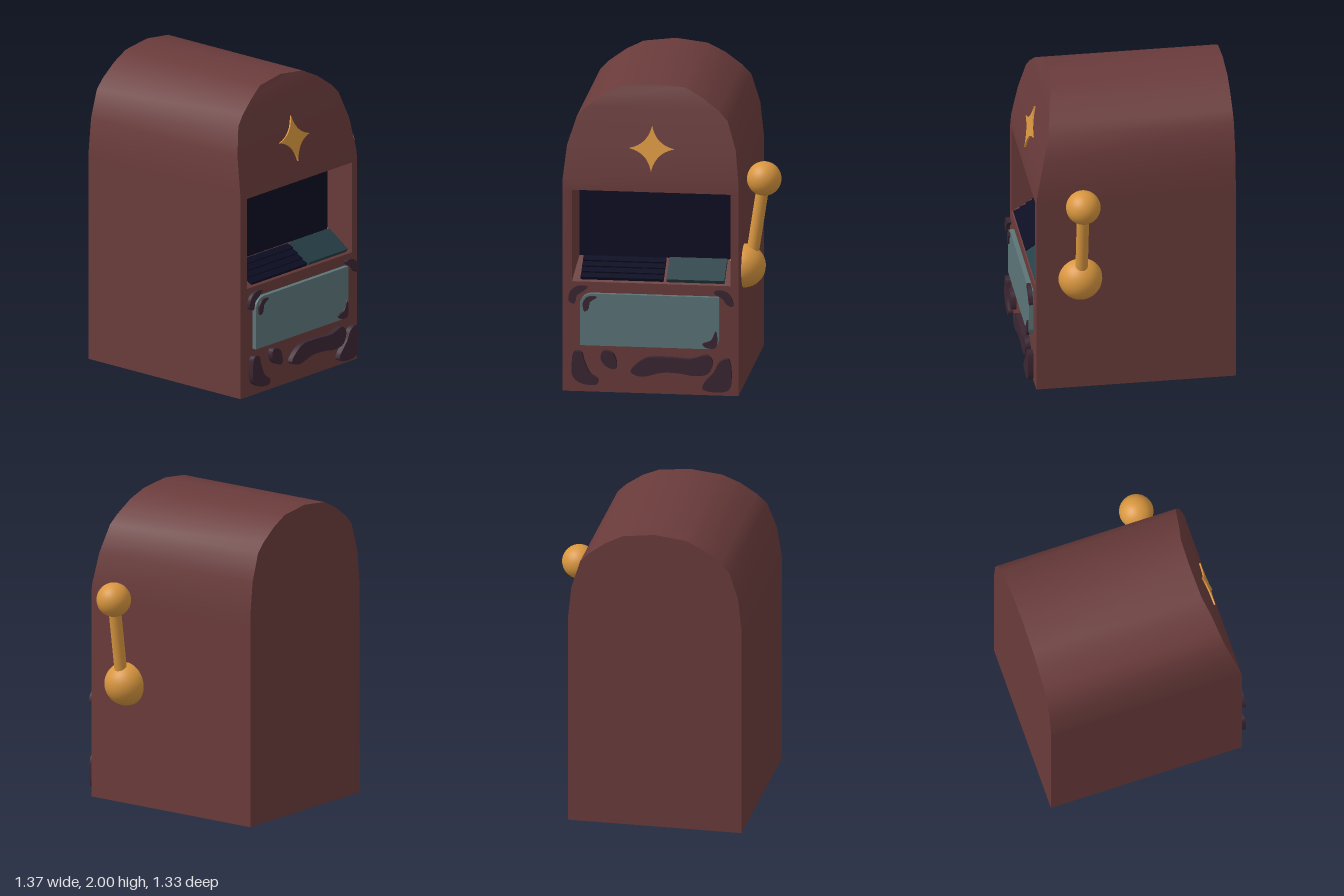
import * as THREE from 'three';
import { toCreasedNormals } from 'three/addons/utils/BufferGeometryUtils.js';

const paint = (name, color) => {
  const m = new THREE.MeshStandardMaterial({ color });
  m.name = name;
  return m;
};

export function createModel() {
  const maroon = paint('maroon', 0x6a3b3b);
  const gold = paint('gold', 0xd8963f);
  const navy = paint('navy', 0x0d0d24);
  const teal = paint('greyTeal', 0x5c7578);
  const darkTeal = paint('darkTeal', 0x263f46);
  const plum = paint('plum', 0x3b2632);

  const model = new THREE.Group();
  const add = (name, geometry, material, x = 0, y = 0, z = 0, parent = model) => {
    const mesh = new THREE.Mesh(geometry, material);
    mesh.name = name;
    mesh.position.set(x, y, z);
    parent.add(mesh);
    return mesh;
  };
  const quads = (list) => {
    const pos = [];
    for (const [a, b, c, d] of list) pos.push(...a, ...b, ...c, ...a, ...c, ...d);
    const g = new THREE.BufferGeometry();
    g.setAttribute('position', new THREE.Float32BufferAttribute(pos, 3));
    return toCreasedNormals(g, 0.6);
  };

  // Cabinet: rows of [height, half width, front z], with the opening in the second band
  const cx = -0.1225, back = -0.665, front = 0.615;
  const rows = [
    [0, 0.5625, front], [0.72, 0.5625, front], [1.32, 0.5625, front], [1.39, 0.5625, 0.609],
    [1.6, 0.54, 0.568], [1.78, 0.483, 0.526], [1.84, 0.425, 0.512], [1.92, 0.315, 0.492],
    [1.975, 0.205, 0.467], [2, 0, 0.46],
  ];
  const corners = (x0, x1, y0, y1, z) => [[x0, y0, z], [x1, y0, z], [x1, y1, z], [x0, y1, z]];
  const opening = corners(-0.625, 0.39, 0.72, 1.32, front);
  const inner = corners(-0.6, 0.368, 0.845, 1.3, 0.43);
  const faces = [];
  for (let i = 0; i < rows.length - 1; i++) {
    const [y0, w0, f0] = rows[i], [y1, w1, f1] = rows[i + 1];
    const l0 = cx - w0, r0 = cx + w0, l1 = cx - w1, r1 = cx + w1;
    faces.push(
      [[r0, y0, back], [l0, y0, back], [l1, y1, back], [r1, y1, back]],
      [[r0, y0, f0], [r0, y0, back], [r1, y1, back], [r1, y1, f1]],
      [[l0, y0, back], [l0, y0, f0], [l1, y1, f1], [l1, y1, back]],
    );
    if (i === 1) {
      faces.push(corners(l0, -0.625, y0, y1, front), corners(0.39, r0, y0, y1, front));
    } else {
      faces.push([[l0, y0, f0], [r0, y0, f0], [r1, y1, f1], [l1, y1, f1]]);
    }
  }
  const L = cx - 0.5625, R = cx + 0.5625;
  faces.push([[L, 0, back], [R, 0, back], [R, 0, front], [L, 0, front]]);
  add('cabinet', quads(faces), maroon);

  // Recess walls, sloped floor and screen
  add('recessWalls', quads(opening.map((o, i) => {
    const j = (i + 1) % 4;
    return [o, opening[j], inner[j], inner[i]];
  })), maroon);
  add('screen', quads([inner]), navy);

  // Control panel lying on the sloped floor
  const panel = new THREE.Group();
  panel.name = 'controlPanel';
  panel.position.set(0, 0.783, 0.522);
  panel.rotation.x = Math.atan2(0.125, 0.185);
  model.add(panel);
  for (let i = 0; i < 4; i++) {
    const key = add('keyRow', new THREE.BoxGeometry(0.53, 0.02, 0.05), navy, -0.305, 0.01, -0.072 + i * 0.048, panel);
    key.rotation.x = -0.22;
  }
  add('trayBlock', new THREE.BoxGeometry(0.37, 0.03, 0.19), darkTeal, 0.165, 0.012, 0, panel);

  // Four-pointed star on the sloping forehead
  const star = new THREE.Shape().moveTo(0, 0.148);
  for (let i = 1; i <= 4; i++) {
    const a = Math.PI / 2 + i * Math.PI / 2, c = a - Math.PI / 4;
    star.quadraticCurveTo(0.035 * Math.cos(c), 0.035 * Math.sin(c), 0.148 * Math.cos(a), 0.148 * Math.sin(a));
  }
  const starGeo = new THREE.ExtrudeGeometry(star, { depth: 0.03, bevelEnabled: false });
  add('star', starGeo, gold, -0.12, 1.59, 0.549).rotation.x = -0.215;

  // Front plate with two softened corners
  const plate = new THREE.Shape();
  plate.moveTo(-0.57, 0.31);
  plate.lineTo(0.25, 0.31);
  plate.quadraticCurveTo(0.31, 0.32, 0.32, 0.37);
  plate.lineTo(0.32, 0.65);
  plate.lineTo(-0.5, 0.65);
  plate.quadraticCurveTo(-0.56, 0.64, -0.57, 0.59);
  add('frontPlate', new THREE.ExtrudeGeometry(plate, { depth: 0.03, bevelEnabled: false }), teal, 0, 0, front);

  // Dark rounded patches: outlines in hundredths of a unit
  const patch = (name, z, depth, ...pts) => {
    const curve = new THREE.CatmullRomCurve3(
      pts.map(([x, y]) => new THREE.Vector3(x / 100, y / 100, 0)), true);
    const shape = new THREE.Shape(curve.getPoints(pts.length * 4).slice(0, -1)
      .map((p) => new THREE.Vector2(p.x, p.y)));
    const g = new THREE.ExtrudeGeometry(shape, { depth, bevelEnabled: false });
    add(name, toCreasedNormals(g, 0.7), plum, 0, 0, z);
  };
  patch('upperLeftPatch', 0.632, 0.025, [-52, 69.5], [-58, 70], [-63, 66.5], [-64, 60], [-60.5, 58.5], [-59, 63.5], [-55, 66.5]);
  patch('upperRightPatch', 0.632, 0.025, [29, 69], [35, 69.5], [40, 65], [41, 59.5], [37, 61], [34.5, 64.5], [30, 67]);
  patch('plateTopPatch', 0.64, 0.017, [-46, 63], [-52, 63], [-55, 59], [-54, 53.5], [-51.5, 55], [-50.5, 59.5]);
  patch('plateBottomPatch', 0.64, 0.017, [30, 43], [27, 37], [21.5, 34.5], [23.5, 32.3], [29.5, 32], [31, 36.5]);
  patch('lowerLeftPatch', 0.627, 0.036, [-60.5, 27], [-62, 20], [-61.5, 11], [-56, 6.5], [-46, 6], [-45.5, 9], [-50.5, 13], [-54, 20.5], [-56, 26.5]);
  patch('smallPatch', 0.627, 0.036, [-42, 28], [-43.5, 23], [-40, 18], [-34, 16.5], [-33.5, 21], [-36, 26.5]);
  patch('wavyPatch', 0.627, 0.036, [-24.5, 15], [-15, 24], [-2, 25], [14, 24.5], [24.5, 27], [28, 23], [25.5, 15.5], [17.5, 13.5], [6, 15], [-4.5, 15], [-17.5, 12]);
  patch('lowerRightPatch', 0.627, 0.036, [38, 25], [32.5, 23], [29, 16.5], [22, 8], [22, 4.8], [38, 4.5], [40, 13.5]);

  // Side lever
  const lever = new THREE.Group();
  lever.name = 'lever';
  model.add(lever);
  const low = new THREE.Vector3(0.485, 0.8, 0.333), high = new THREE.Vector3(0.57, 1.36, 0.333);
  add('leverBase', new THREE.SphereGeometry(0.14, 32, 20), gold, 0.44, 0.785, 0.333, lever);
  add('leverKnob', new THREE.SphereGeometry(0.11, 32, 20), gold, high.x, high.y, high.z, lever);
  const rod = add('leverRod', new THREE.CylinderGeometry(0.04, 0.04, low.distanceTo(high), 20), gold, 0, 0, 0, lever);
  rod.position.lerpVectors(low, high, 0.5);
  rod.quaternion.setFromUnitVectors(new THREE.Vector3(0, 1, 0), high.clone().sub(low).normalize());

  return model;
}
